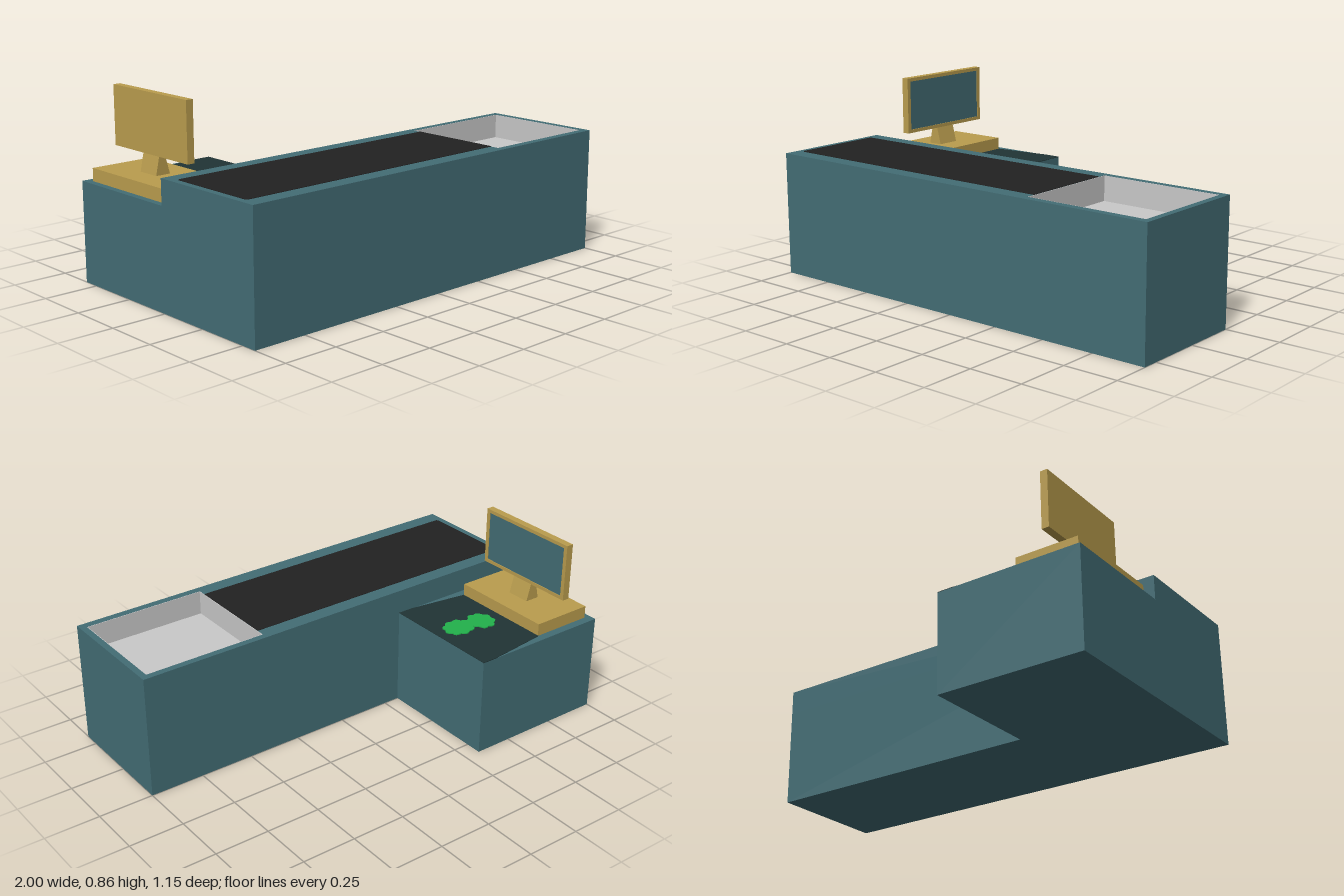
import * as THREE from 'three';

export function createModel() {
  const model = new THREE.Group();
  const paint = (name, color) => {
    const m = new THREE.MeshStandardMaterial({ color });
    m.name = name;
    return m;
  };
  const teal = paint('teal', 0x436d75);
  const darkTeal = paint('dark teal', 0x203435);
  const gold = paint('gold', 0xba9d4e);
  const black = paint('black', 0x212121);
  const grey = paint('light grey', 0xc9c9c9);
  const green = paint('green', 0x22b14c);

  const add = (name, geometry, material, parent = model) => {
    const mesh = new THREE.Mesh(geometry, material);
    mesh.name = name;
    parent.add(mesh);
    return mesh;
  };
  // Box given by its limits on each axis
  const box = (name, [x0, x1], [y0, y1], [z0, z1], material, parent) => {
    const g = new THREE.BoxGeometry(x1 - x0, y1 - y0, z1 - z0);
    g.translate((x0 + x1) / 2, (y0 + y1) / 2, (z0 + z1) / 2);
    return add(name, g, material, parent);
  };
  // Plan outline of [x, z] points, raised from y0 to y1
  const slab = (name, points, y0, y1, material, hole, parent) => {
    const toVectors = (list) => list.map(([x, z]) => new THREE.Vector2(x, -z));
    const shape = new THREE.Shape(toVectors(points));
    if (hole) shape.holes.push(new THREE.Path(toVectors(hole)));
    const g = new THREE.ExtrudeGeometry(shape, { depth: y1 - y0, bevelEnabled: false });
    g.rotateX(-Math.PI / 2).translate(0, y0, 0);
    return add(name, g, material, parent);
  };
  const rect = (x0, x1, z0, z1) => [[x0, z0], [x0, z1], [x1, z1], [x1, z0]];

  // Long front counter with a sunken tray
  const counter = new THREE.Group();
  counter.name = 'frontCounter';
  model.add(counter);
  box('counterBody', [-1, 1], [0, 0.45], [0, 0.574], teal, counter);
  slab('counterTop', rect(-1, 1, 0, 0.574), 0.45, 0.565, teal, rect(0.4, 0.97, 0.03, 0.54), counter);
  box('trayFloor', [0.4, 0.97], [0.45, 0.454], [0.03, 0.54], grey, counter);
  slab('trayWalls', rect(0.4, 0.97, 0.03, 0.54), 0.452, 0.5645, grey, rect(0.403, 0.967, 0.033, 0.537), counter);
  const c = 0.008;
  slab('blackWorktop', [[-0.97 + c, 0.07], [-0.97, 0.07 + c], [-0.97, 0.5 - c], [-0.97 + c, 0.5],
    [0.4, 0.5], [0.4, 0.07]], 0.564, 0.567, black, null, counter);

  // Lower side counter behind it
  const side = new THREE.Group();
  side.name = 'sideCounter';
  model.add(side);
  box('sideBody', [-1, -0.325], [0, 0.452], [-0.575, 0], teal, side);
  slab('darkDesktop', [[-0.68, -0.54], [-0.68, -0.04], [-0.4, 0], [-0.325, 0], [-0.325, -0.575], [-0.4, -0.575]],
    0.451, 0.454, darkTeal, null, side);

  // Flat leafy patches with scalloped edges
  const leaf = (name, cx, cz, rx, rz, lobes, phase) => {
    const points = [];
    for (let i = 0; i < 48; i++) {
      const a = (i / 48) * Math.PI * 2;
      const r = 0.84 + 0.16 * Math.abs(Math.sin((a * lobes) / 2 + phase));
      points.push([cx + rx * r * Math.cos(a), cz - rz * r * Math.sin(a)]);
    }
    slab(name, points, 0.453, 0.459, green, null, side);
  };
  leaf('leafPatchLeft', -0.568, -0.285, 0.064, 0.07, 8, 0.4);
  leaf('leafPatchRight', -0.447, -0.272, 0.078, 0.066, 9, 1.1);

  // Display on a gold stand, facing +x
  const display = new THREE.Group();
  display.name = 'display';
  model.add(display);
  box('standBase', [-0.97, -0.68], [0.451, 0.51], [-0.537, -0.04], gold, display);
  const neck = new THREE.Shape([[-0.86, 0.51], [-0.79, 0.51], [-0.812, 0.592], [-0.842, 0.592]]
    .map(([x, y]) => new THREE.Vector2(x, y)));
  const neckGeometry = new THREE.ExtrudeGeometry(neck, { depth: 0.112, bevelEnabled: false });
  add('standNeck', neckGeometry.translate(0, 0, -0.342), gold, display);
  box('displayBack', [-0.845, -0.818], [0.59, 0.855], [-0.545, -0.03], gold, display);
  // Raised frame around the screen
  for (const [y0, y1] of [[0.59, 0.606], [0.839, 0.855]])
    box('frameRail', [-0.82, -0.811], [y0, y1], [-0.545, -0.03], gold, display);
  for (const [z0, z1] of [[-0.545, -0.526], [-0.049, -0.03]])
    box('frameStile', [-0.82, -0.811], [0.606, 0.839], [z0, z1], gold, display);
  box('screen', [-0.819, -0.814], [0.606, 0.839], [-0.526, -0.049], teal, display);

  return model;
}
